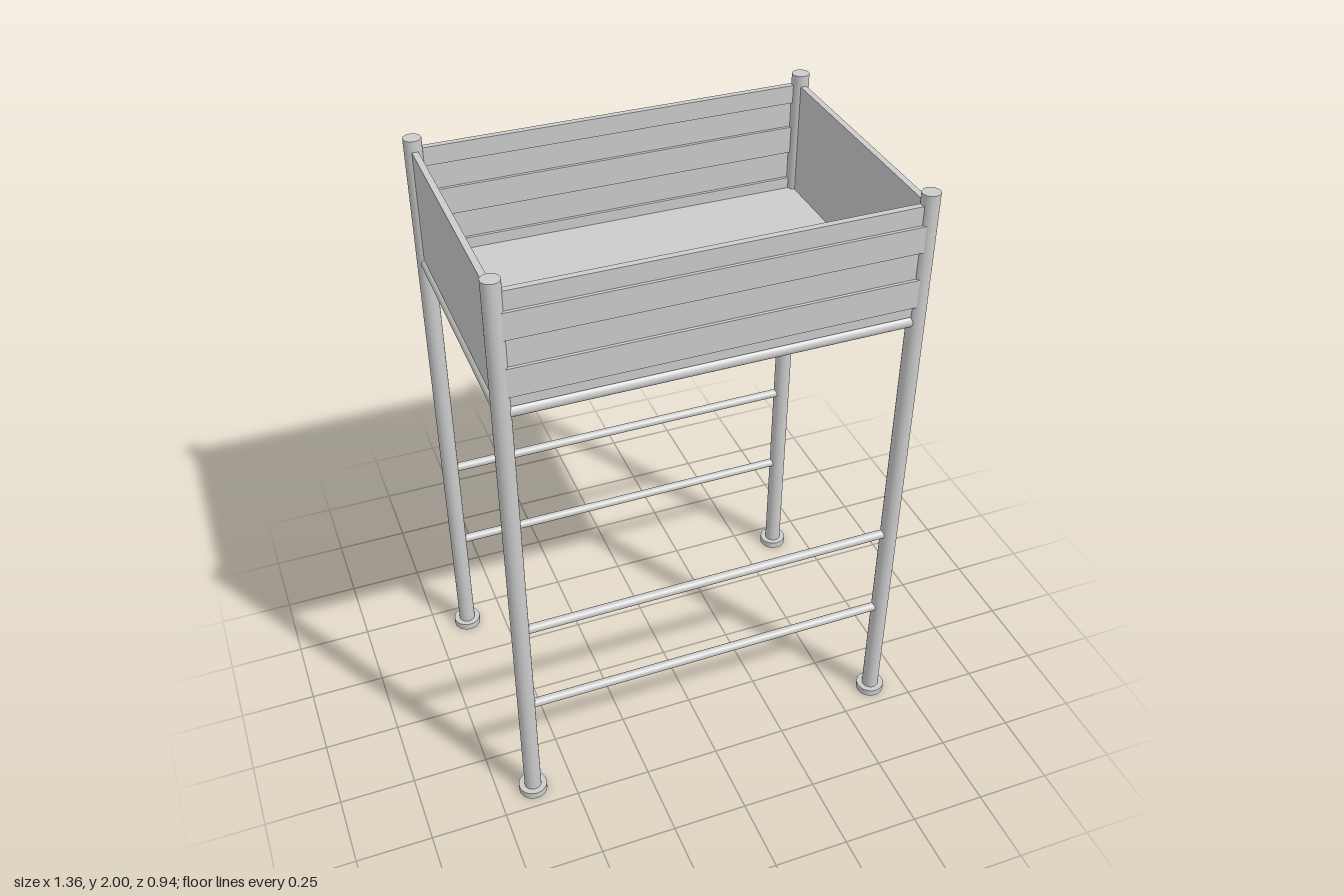
import * as THREE from 'three';

const PX = 0.633, PZ = 0.422;          // post centres
const BOX_BOTTOM = 1.6, BOX_TOP = 1.965;

export function createModel() {
  const model = new THREE.Group();
  model.name = 'raisedPlanter';
  const material = new THREE.MeshStandardMaterial({ color: 0xcccccc });

  const add = (name, geometry, x, y, z) => {
    const mesh = new THREE.Mesh(geometry, material);
    mesh.name = name;
    mesh.position.set(x, y, z);
    model.add(mesh);
    return mesh;
  };
  const tube = (r, length) => new THREE.CylinderGeometry(r, r, length, 32);

  // Four posts standing on round feet
  for (const sx of [-1, 1]) {
    for (const sz of [-1, 1]) {
      add('post', tube(0.028, 1.98), sx * PX, 1.01, sz * PZ);
      add('foot', tube(0.047, 0.025), sx * PX, 0.0125, sz * PZ);
    }
  }

  // Stepped sheet profile: [height, outward offset] at each band's lower edge
  const bands = [[BOX_BOTTOM, 0], [1.637, 0.01], [1.73, 0], [1.82, 0.01], [1.905, 0]];
  const outline = (base) => bands.flatMap(([y, d], i) => {
    const top = i + 1 < bands.length ? bands[i + 1][0] : BOX_TOP;
    return [new THREE.Vector2(base + d, y), new THREE.Vector2(base + d, top)];
  });
  const profile = new THREE.Shape([...outline(0.013), ...outline(-0.007).reverse()]);
  const sheet = new THREE.ExtrudeGeometry(profile, { depth: 2 * PX, bevelEnabled: false });
  sheet.translate(0, 0, -PX);

  // Front and back: ribbed panel, top rail and two lower rungs
  for (const sz of [-1, 1]) {
    const side = sz > 0 ? 'front' : 'back';
    add(side + 'Panel', sheet, 0, 0, sz * PZ).rotation.y = -sz * Math.PI / 2;
    for (const [name, y, r] of [['Rail', 1.58, 0.02], ['UpperRung', 0.742, 0.015], ['LowerRung', 0.41, 0.015]]) {
      add(side + name, tube(r, 2 * PX), 0, y, sz * PZ).rotation.z = Math.PI / 2;
    }
  }

  // Left and right: plain panel and rail
  const height = BOX_TOP - BOX_BOTTOM;
  for (const sx of [-1, 1]) {
    const side = sx > 0 ? 'left' : 'right';
    add(side + 'Panel', new THREE.BoxGeometry(0.02, height, 2 * PZ), sx * PX, BOX_BOTTOM + height / 2, 0);
    add(side + 'Rail', tube(0.02, 2 * PZ), sx * PX, 1.58, 0).rotation.x = Math.PI / 2;
  }

  // Floor of the box, resting between the rails
  add('floor', new THREE.BoxGeometry(2 * PX, 0.02, 2 * PZ), 0, 1.59, 0);

  return model;
}
